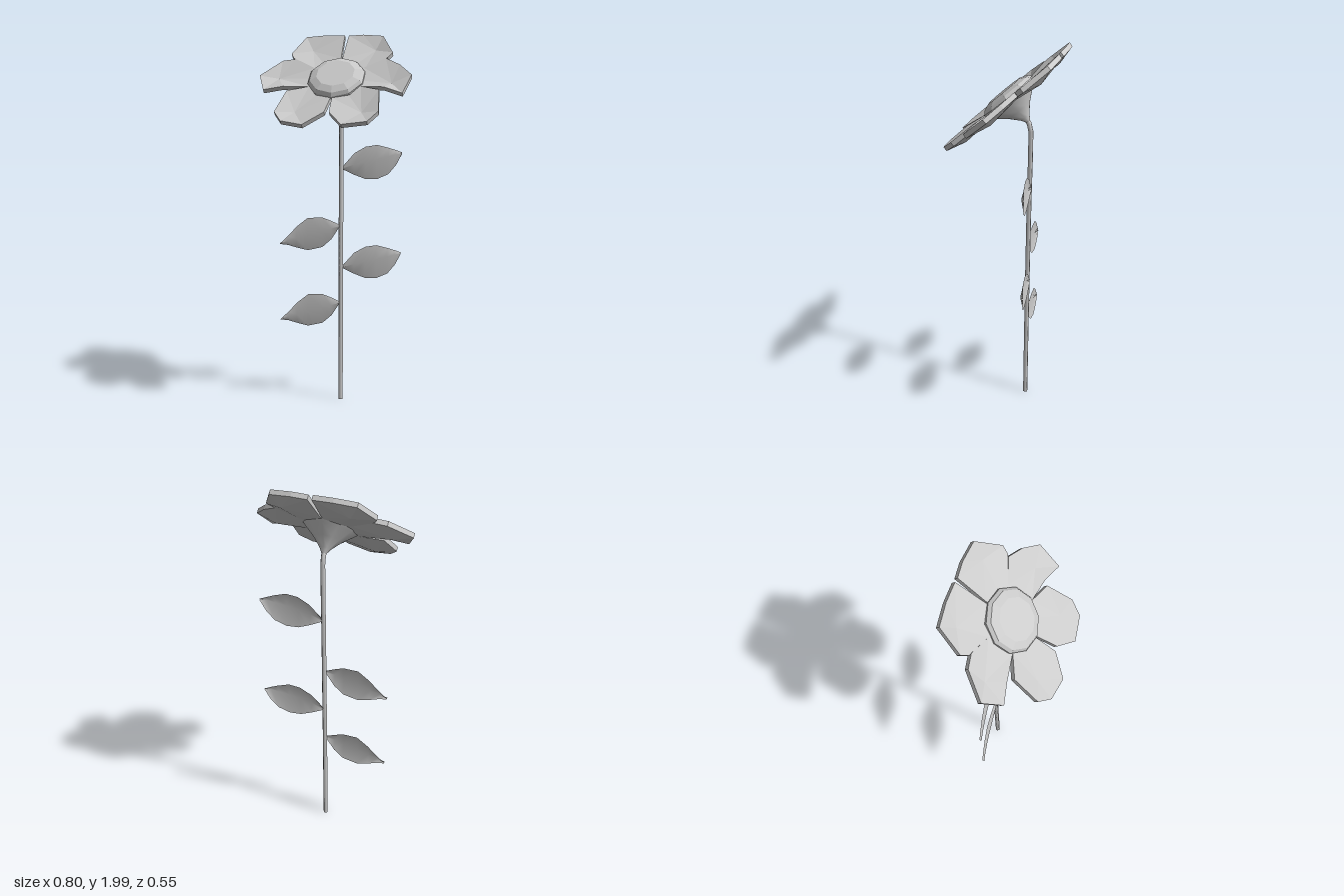
import * as THREE from 'three';

const TILT = 0.716; // the head leans forward about x
const CX = 0.012, CY = 1.755, CZ = -0.012; // head centre

const flat = new THREE.MeshStandardMaterial({ color: 0xcccccc, flatShading: true });
const flatDouble = new THREE.MeshStandardMaterial({ color: 0xcccccc, flatShading: true, side: THREE.DoubleSide });
const smooth = new THREE.MeshStandardMaterial({ color: 0xcccccc });
const smoothDouble = new THREE.MeshStandardMaterial({ color: 0xcccccc, side: THREE.DoubleSide });

function add(group, name, geometry, material) {
  const mesh = new THREE.Mesh(geometry, material);
  mesh.name = name;
  group.add(mesh);
  return mesh;
}

function indexed(points, index) {
  const g = new THREE.BufferGeometry();
  g.setAttribute('position', new THREE.Float32BufferAttribute(points.flat(), 3));
  g.setIndex(index);
  g.computeVertexNormals();
  return g;
}

// Point on the tilted head plane, lifted by w along its normal
const onHead = (x, z, w) => [x, CY - (z - CZ) * Math.tan(TILT) + w / Math.cos(TILT), z];

// Cupped petal: rim fan around a sunken fold point, with a thin back
function petalGeometry(rim, fold) {
  const outline = [[CX, CZ], ...rim];
  const n = outline.length;
  const top = outline.map(([x, z], i) => onHead(x, z, i < 2 || i === n - 1 ? 0 : 0.014));
  top.push(onHead(fold[0], fold[1], -0.012));
  const t = 0.024;
  const back = top.map(([x, y, z]) => [x, y - t * Math.cos(TILT), z - t * Math.sin(TILT)]);
  let area = 0;
  outline.forEach(([x, z], i) => {
    const [x2, z2] = outline[(i + 1) % n];
    area += x * z2 - x2 * z;
  });
  const index = [], m = n + 1;
  const tri = (a, b, c) => (area < 0 ? index.push(a, b, c) : index.push(a, c, b));
  for (let i = 0; i < n; i++) {
    const j = (i + 1) % n;
    tri(n, i, j);
    tri(m + n, m + j, m + i);
    tri(i, m + i, m + j);
    tri(i, m + j, j);
  }
  return indexed([...top, ...back], index);
}

// Leaf from rows of [x, lower y, rib y, upper y, z], softly creased at the rib
function leafGeometry(rows, bulge) {
  const points = [], index = [];
  for (const [x, lo, mid, hi, z] of rows) {
    points.push([x, lo, z - bulge], [x, mid, z + bulge], [x, hi, z - bulge]);
  }
  for (let i = 0; i < rows.length - 1; i++) {
    for (let k = 0; k < 2; k++) {
      const a = i * 3 + k;
      index.push(a, a + 3, a + 4, a, a + 4, a + 1);
    }
  }
  return indexed(points, index);
}

export function createModel() {
  const model = new THREE.Group();
  model.name = 'flower';

  // Stem, bending forward into the head
  const path = new THREE.CatmullRomCurve3([
    [CX, 0, -0.112], [CX, 0.6, -0.115], [CX, 1.2, -0.12], [CX, 1.56, -0.124],
    [CX, 1.62, -0.12], [CX, 1.665, -0.09],
  ].map((p) => new THREE.Vector3(...p)));
  add(model, 'stem', new THREE.TubeGeometry(path, 40, 0.0125, 6), smoothDouble);
  const foot = add(model, 'stemEnd', new THREE.CircleGeometry(0.0125, 6), flat);
  foot.rotation.x = Math.PI / 2;
  foot.position.set(CX, 0.001, -0.112);

  // Flower centre and the calyx behind it
  const head = new THREE.Group();
  head.name = 'head';
  head.position.set(CX, CY, CZ);
  head.rotation.x = TILT;
  model.add(head);
  const lathe = (profile) => new THREE.LatheGeometry(profile.map((p) => new THREE.Vector2(...p)), 10);
  add(head, 'centre', lathe([[0.15, -0.01], [0.15, 0.006], [0.137, 0.022], [0.1, 0.036], [0, 0.036]]), flat);
  add(head, 'calyx', lathe([[0.012, -0.15], [0.028, -0.125], [0.07, -0.08], [0.125, -0.035], [0.15, -0.01]]), smooth);

  // Six petals, rim points as [x, z] and a fold point
  const petals = [
    [[[0.14, -0.075], [0.25, -0.11], [0.33, -0.07], [0.4, -0.01], [0.37, 0.095], [0.27, 0.06], [0.15, 0.035]], [0.3, 0]],
    [[[-0.12, -0.075], [-0.23, -0.11], [-0.3, -0.1], [-0.4, -0.01], [-0.355, 0.075], [-0.255, 0.055], [-0.12, 0.035]], [-0.3, -0.03]],
    [[[0.014, -0.13], [0.022, -0.255], [0.1, -0.26], [0.21, -0.25], [0.28, -0.145], [0.26, -0.115], [0.15, -0.075]], [0.18, -0.2]],
    [[[0.008, -0.13], [0, -0.258], [-0.1, -0.26], [-0.21, -0.25], [-0.265, -0.145], [-0.245, -0.115], [-0.12, -0.075]], [-0.16, -0.2]],
    [[[0.014, 0.1], [0.025, 0.2], [0.1, 0.267], [0.225, 0.25], [0.27, 0.195], [0.25, 0.075], [0.15, 0.035]], [0.18, 0.165]],
    [[[0.008, 0.1], [0, 0.2], [-0.095, 0.27], [-0.21, 0.25], [-0.257, 0.2], [-0.227, 0.08], [-0.12, 0.035]], [-0.16, 0.165]],
  ];
  petals.forEach(([rim, fold], i) => add(model, `petal${i + 1}`, petalGeometry(rim, fold), flatDouble));

  // Two leaves on each side
  const leftLeaf = leafGeometry([
    [0.015, 1.28, 1.285, 1.29, -0.125], [0.08, 1.25, 1.305, 1.365, -0.132], [0.14, 1.228, 1.32, 1.4, -0.138],
    [0.2, 1.228, 1.335, 1.41, -0.146], [0.26, 1.255, 1.35, 1.395, -0.158], [0.3, 1.305, 1.36, 1.382, -0.168],
    [0.33, 1.365, 1.368, 1.371, -0.177],
  ], 0.006);
  const rightLeaf = leafGeometry([
    [0.005, 0.97, 0.975, 0.98, -0.11], [-0.04, 0.9, 0.96, 1.0, -0.107], [-0.09, 0.855, 0.945, 1.017, -0.104],
    [-0.17, 0.835, 0.92, 1.013, -0.098], [-0.23, 0.848, 0.9, 0.965, -0.092], [-0.28, 0.862, 0.885, 0.91, -0.085],
    [-0.32, 0.866, 0.869, 0.872, -0.078],
  ], 0.006);
  for (let i = 0; i < 2; i++) {
    add(model, `leftLeaf${i + 1}`, leftLeaf, smoothDouble).position.y = -0.54 * i;
    add(model, `rightLeaf${i + 1}`, rightLeaf, smoothDouble).position.y = -0.425 * i;
  }
  return model;
}
